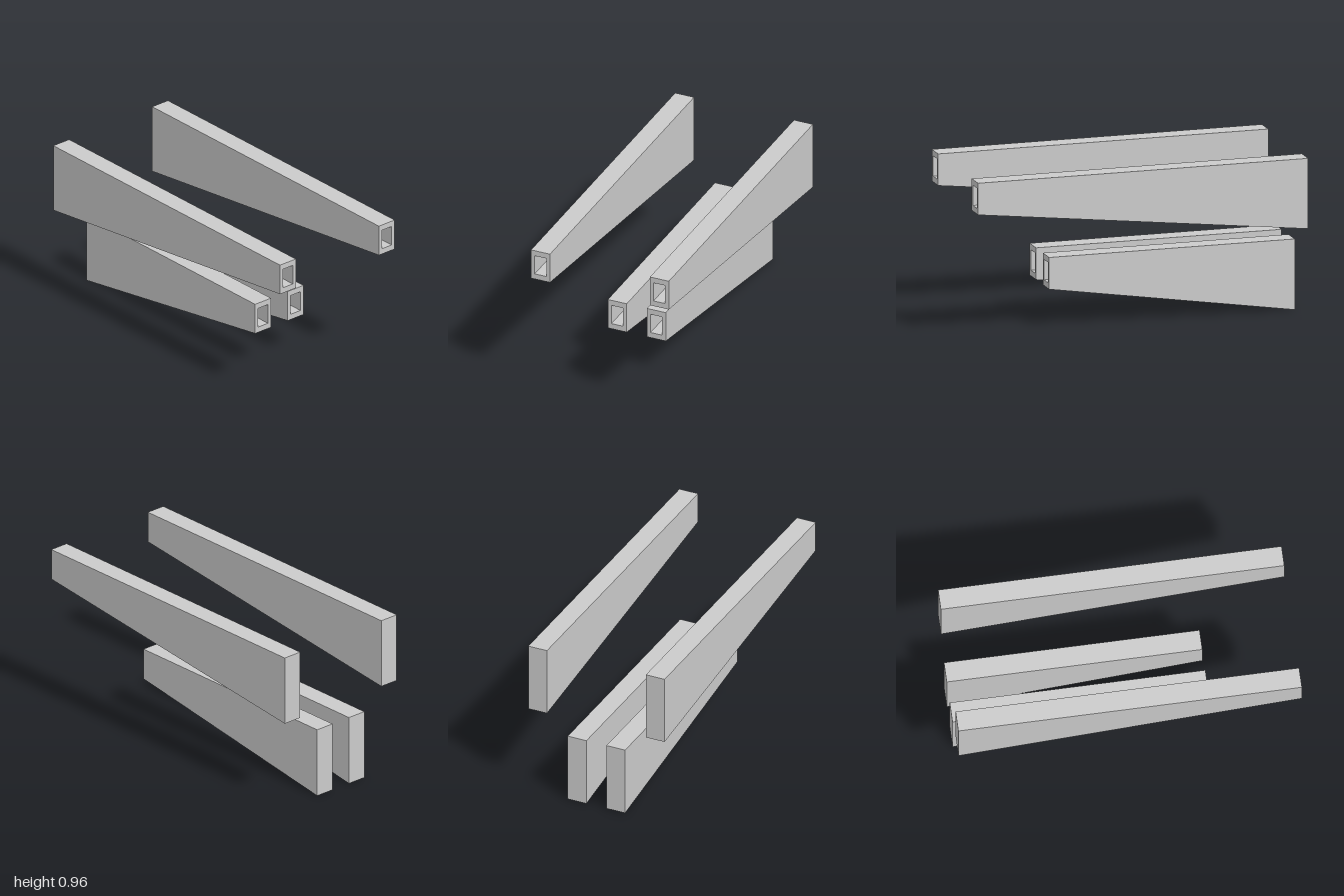
import * as THREE from 'three';

// Rectangular section at x, wound counter-clockwise seen from +x
const section = (x, bottom, top, half) => [
  [x, bottom, -half], [x, top, -half], [x, top, half], [x, bottom, half],
];

// Tapered beam with a flat top, sloping underside and a recess in its narrow end
function beamGeometry(x0, x1, bottom0, bottom1, top) {
  const inset = 0.034;
  const depth = 0.3;
  const rings = [
    section(x0, bottom0, top, 0.06),
    section(x1, bottom1, top, 0.06),
    section(x1, bottom1 + inset, top - inset, 0.037),
    section(x1 - depth, bottom1 + inset, top - inset, 0.037),
  ];
  const positions = [];
  const quad = (a, b, c, d) => positions.push(...a, ...b, ...c, ...a, ...c, ...d);

  // Outer walls, end rim, recess walls
  for (let r = 0; r < rings.length - 1; r++) {
    for (let i = 0; i < 4; i++) {
      const j = (i + 1) % 4;
      quad(rings[r][i], rings[r][j], rings[r + 1][j], rings[r + 1][i]);
    }
  }
  // Closed wide end and recess floor
  quad(...[...rings[0]].reverse());
  quad(...rings[3]);

  const geometry = new THREE.BufferGeometry();
  geometry.setAttribute('position', new THREE.Float32BufferAttribute(positions, 3));
  geometry.computeVertexNormals();
  return geometry;
}

export function createModel() {
  const group = new THREE.Group();
  group.name = 'taperedBeams';
  const material = new THREE.MeshStandardMaterial({ color: 0xcccccc, flatShading: true });

  const beams = [
    { name: 'UpperBeam', z: 0.377, geometry: beamGeometry(-1, 1, 0.539, 0.769, 0.957) },
    { name: 'LowerBeam', z: 0.124, geometry: beamGeometry(-1, 0.488, 0, 0.231, 0.42) },
  ];
  // One long upper and one short lower beam on each side
  for (const { name, z, geometry } of beams) {
    for (const side of [1, -1]) {
      const mesh = new THREE.Mesh(geometry, material);
      mesh.name = (side > 0 ? 'front' : 'back') + name;
      mesh.position.z = side * z;
      group.add(mesh);
    }
  }
  return group;
}
